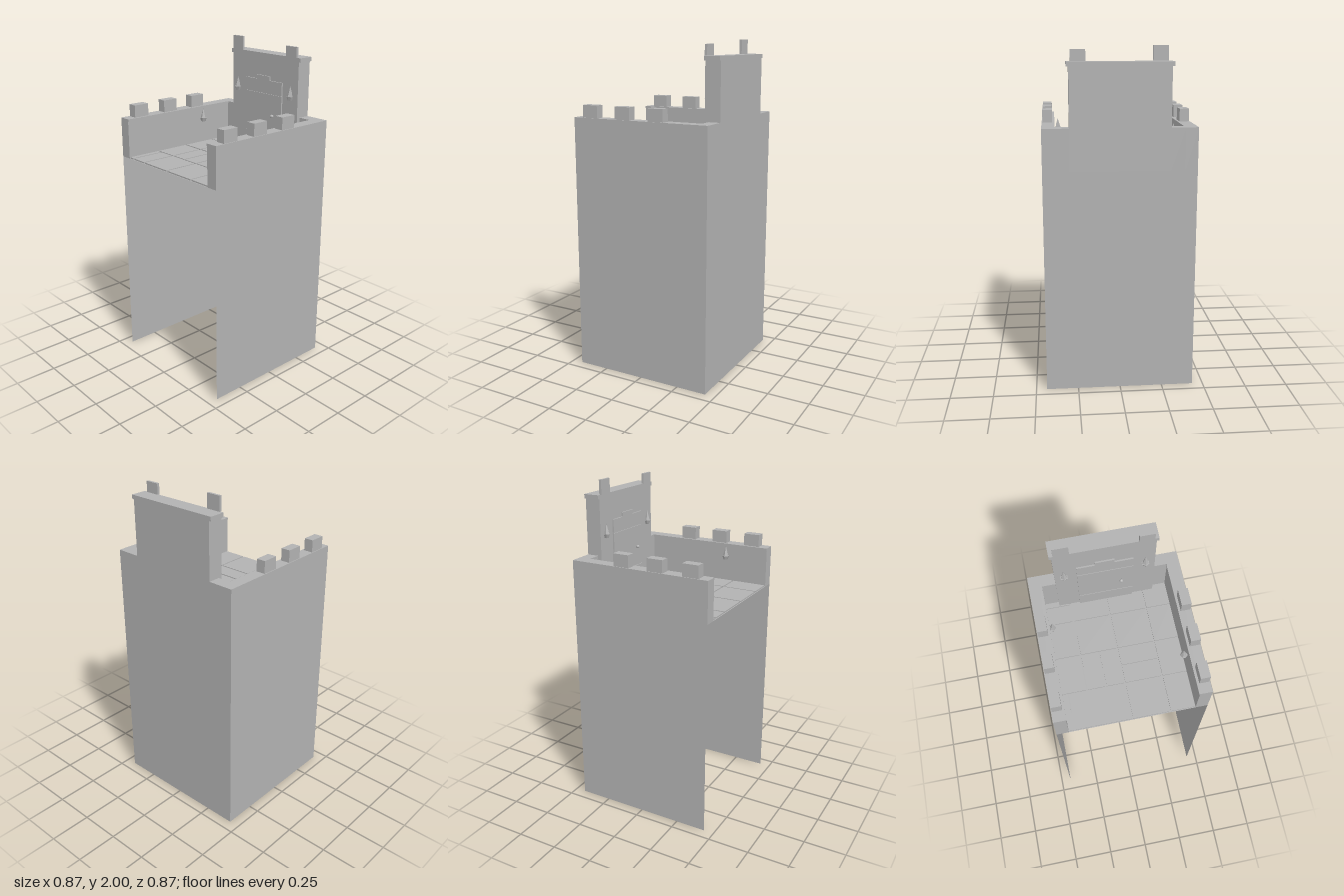
import * as THREE from 'three';

export function createModel() {
  const model = new THREE.Group();
  const stone = new THREE.MeshStandardMaterial({ color: 0xb2b2b2, side: THREE.DoubleSide, flatShading: true });
  stone.name = 'grey stone';

  const E = 0.437;      // half width of the tower
  const IN = 0.366;     // inner face of the parapets
  const FLOOR = 1.32, TOP = 1.556;

  function add(name, geometry, parent = model) {
    const mesh = new THREE.Mesh(geometry, stone);
    mesh.name = name;
    parent.add(mesh);
    return mesh;
  }
  // Box given by its limits on each axis
  function box(name, x0, x1, y0, y1, z0, z1, parent) {
    const mesh = add(name, new THREE.BoxGeometry(x1 - x0, y1 - y0, z1 - z0), parent);
    mesh.position.set((x0 + x1) / 2, (y0 + y1) / 2, (z0 + z1) / 2);
    return mesh;
  }

  // Hollow lower tower: three thin walls, open at front and bottom
  const base = FLOOR - 0.008;
  add('backWall', new THREE.PlaneGeometry(2 * E, base).rotateY(Math.PI).translate(0, base / 2, -E));
  for (const s of [-1, 1]) {
    add('sideWall', new THREE.PlaneGeometry(2 * E, base).rotateY(s * Math.PI / 2).translate(s * E, base / 2, 0));
  }
  add('floorBase', new THREE.PlaneGeometry(2 * E, 2 * E).rotateX(-Math.PI / 2).translate(0, base, 0));

  // Raised floor slabs: x0, x1, z0, z1
  const slabs = [];
  const columns = [[-IN, -0.225], [-0.215, -0.005], [0.005, 0.215], [0.224, IN]];
  const rows = [[-IN, -0.225], [-0.217, -0.007], [0.004, 0.213], [0.222, 0.432]];
  rows.forEach(([z0, z1], r) => columns.forEach(([x0, x1], c) => {
    if (r === 0 && c === 0) slabs.push([x0, x1, z0, -0.335], [x0, x1, -0.326, z1]);
    else if (r === 2 && c === 1) slabs.push([x0, -0.115, z0, z1], [-0.105, x1, z0, z1]);
    else if (r === 2 && c === 2) slabs.push([x0, x1, z0, 0.103], [x0, x1, 0.113, z1]);
    else if (r === 3 && c === 0) slabs.push([x0, -0.335, z0, z1], [-0.325, x1, z0, z1]);
    else slabs.push([x0, x1, z0, z1]);
  }));
  for (const [x0, x1, z0, z1] of slabs) box('floorSlab', x0, x1, base, FLOOR, z0, z1);

  // Side parapets with merlons, and the low back parapet
  for (const s of [-1, 1]) {
    const span = (a, b) => (s > 0 ? [a, b] : [-b, -a]);
    box('sideParapet', ...span(IN, E), base, TOP, -E, E);
    box('parapetLip', ...span(IN - 0.004, IN), TOP - 0.014, TOP, -IN, E);
    box('backParapet', ...span(0.284, IN), base, TOP, -E, -IN);
    for (const z of [-0.11, 0.108, 0.328]) {
      box('merlon', ...span(0.376, 0.432), TOP, 1.63, z - 0.049, z + 0.049);
    }
  }

  // Raised door block with its cap and two upright stones
  box('doorBlock', -0.284, 0.284, base, 1.89, -E, -0.342);
  box('doorBlockCap', -0.297, 0.297, 1.89, 1.915, -E, -0.34);
  box('capStone', -0.275, -0.188, 1.915, 2.0, -0.347, -0.332);
  box('capStone', 0.187, 0.272, 1.915, 1.978, -0.347, -0.332);

  // Door with a stepped top, seams between its panels
  const door = new THREE.Group();
  door.name = 'door';
  model.add(door);
  box('doorBacking', -0.155, 0.155, FLOOR, 1.74, -0.342, -0.338, door);
  box('doorPanel', -0.159, 0.159, FLOOR, 1.416, -0.342, -0.333, door);
  box('doorPanel', -0.159, 0.159, 1.422, 1.668, -0.342, -0.333, door);
  const outline = [[-0.159, 1.674], [0.159, 1.674], [0.159, 1.752], [0.053, 1.752], [0.053, 1.778], [-0.058, 1.778], [-0.058, 1.752], [-0.159, 1.752]];
  const topShape = new THREE.Shape(outline.map(([x, y]) => new THREE.Vector2(x, y)));
  add('doorTop', new THREE.ExtrudeGeometry(topShape, { depth: 0.009, bevelEnabled: false }), door).position.z = -0.342;
  add('doorKnob', new THREE.IcosahedronGeometry(0.011, 1), door).position.set(0.09, 1.537, -0.323);

  // Torches: six-sided bowl, five-sided flame and a small wall bracket
  function torch(x, y, z, turn, reach) {
    const g = new THREE.Group();
    g.name = 'torch';
    add('torchBowl', new THREE.CylinderGeometry(0.023, 0.013, 0.024, 6), g).position.y = 0.012;
    add('torchFlame', new THREE.ConeGeometry(0.019, 0.064, 5), g).position.y = 0.054;
    box('torchBracket', -0.006, 0.006, 0.004, 0.014, -reach, 0, g);
    g.position.set(x, y, z);
    g.rotation.y = turn;
    model.add(g);
  }
  torch(-0.232, 1.657, -0.335, 0, 0.01);
  torch(0.228, 1.657, -0.335, 0, 0.01);
  torch(-0.344, 1.46, -0.134, Math.PI / 2, 0.024);
  torch(0.341, 1.46, 0.172, -Math.PI / 2, 0.027);

  return model;
}
